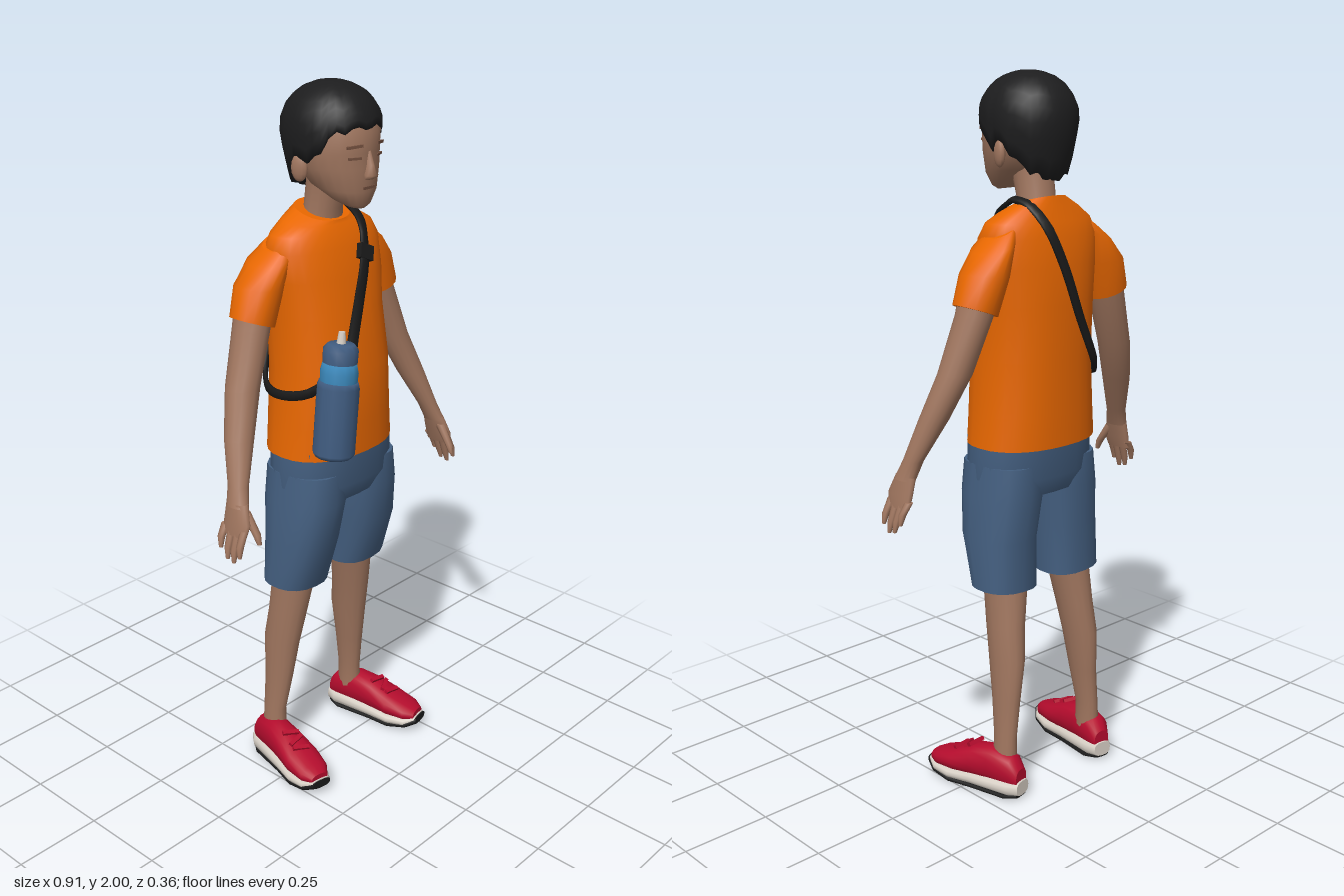
import * as THREE from 'three';

const mat = (name, color) => Object.assign(new THREE.MeshStandardMaterial({ color }), { name });
const M = {
  skin: mat('skin', 0xa0765f), hair: mat('black hair', 0x1d1d1e), shirt: mat('orange cloth', 0xee6a00),
  denim: mat('blue denim', 0x445f80), red: mat('red shoe', 0xb50c2d), white: mat('off white', 0xd6cec4),
  black: mat('black rubber', 0x1a1a1a), pouch: mat('pouch blue', 0x405c80), bottle: mat('bottle blue', 0x3a86b8),
  line: mat('face line', 0x73503f),
};

// Skin a list of point rings, with flat end caps
function skin(rings, capped = true) {
  const n = rings[0].length, pos = [], idx = [];
  const add = p => pos.push(p.x, p.y, p.z) / 3 - 1;
  rings.forEach(r => r.forEach(add));
  for (let i = 0; i < rings.length - 1; i++) for (let j = 0; j < n; j++) {
    const a = i * n + j, b = i * n + (j + 1) % n;
    idx.push(a, b, b + n, a, b + n, a + n);
  }
  if (capped) [rings[0], rings[rings.length - 1]].forEach((r, k) => {
    const c = new THREE.Vector3();
    r.forEach(p => c.addScaledVector(p, 1 / n));
    const ci = add(c), start = ci + 1;
    r.forEach(add);
    for (let j = 0; j < n; j++) {
      const a = start + j, b = start + (j + 1) % n;
      k ? idx.push(ci, a, b) : idx.push(ci, b, a);
    }
  });
  const g = new THREE.BufferGeometry();
  g.setAttribute('position', new THREE.Float32BufferAttribute(pos, 3));
  g.setIndex(idx);
  g.computeVertexNormals();
  return g;
}

// Superellipse coordinates
const oval = (n, power) => Array.from({ length: n }, (_, j) => {
  const t = j / n * Math.PI * 2, f = v => Math.sign(v) * Math.abs(v) ** (2 / power);
  return [f(Math.cos(t)), f(Math.sin(t))];
});

// Rows from bottom to top: x, y, z, half width, half depth, tilt in x, tilt in z
const loftY = (rows, s = 1, n = 16, power = 2) => skin(rows.map(([x, y, z, rx, rz, tx = 0, tz = 0]) =>
  oval(n, power).map(([c, d]) => new THREE.Vector3(x * s + d * rx, y + tx * s * d * rx + tz * c * rz, z + c * rz))));

// Rows from back to front: z, half width, bottom, top
const loftZ = (rows, power = 2.8) => skin(rows.map(([z, w, b, t]) =>
  oval(16, power).map(([c, d]) => new THREE.Vector3(c * w, (b + t) / 2 + d * (t - b) / 2, z))));

function mesh(parent, name, geo, material, p = [0, 0, 0], r = [0, 0, 0]) {
  const m = new THREE.Mesh(geo, material);
  m.name = name;
  m.position.set(...p);
  m.rotation.set(...r);
  parent.add(m);
  return m;
}
const group = (parent, name) => { const g = new THREE.Group(); g.name = name; parent.add(g); return g; };

// Hair shell whose lower edge follows the hairline
function hairGeometry() {
  const line = [[0, 1.9], [0.85, 1.885], [1.1, 1.84], [1.42, 1.8], [1.62, 1.83], [1.9, 1.79], [2.3, 1.745], [3.15, 1.72]];
  const edge = a => {
    const k = line.findIndex((p, i) => i && a <= p[0]);
    const [a0, y0] = line[k - 1], [a1, y1] = line[k];
    return y0 + (y1 - y0) * (a - a0) / (a1 - a0);
  };
  const n = 40, rings = [];
  for (let i = -1; i <= 9; i++) {
    rings.push(Array.from({ length: n }, (_, j) => {
      const t = j / n * Math.PI * 2, a = Math.min(t, Math.PI * 2 - t), v = Math.max(i, 0) / 9;
      const y = edge(a) + (j % 3 === 0 ? -0.007 : 0.004) * (1 - v) + (1.999 - edge(a)) * Math.sin(v * Math.PI / 2);
      let r = y > 1.87 ? Math.sqrt(Math.max(0.002, 1 - ((y - 1.87) / 0.13) ** 2.4)) : 1 - 0.25 * ((1.87 - y) / 0.15) ** 1.5;
      r *= i < 0 ? 0.75 : 1 + 0.012 * Math.sin(t * 7 + i * 1.7);
      return new THREE.Vector3(Math.sin(t) * 0.125 * r, y, -0.02 + Math.cos(t) * 0.14 * r);
    }));
  }
  return skin(rings);
}

// Flat strap along a curve, facing away from the body
function strapGeometry(points, width) {
  const curve = new THREE.CatmullRomCurve3(points.map(p => new THREE.Vector3(...p)));
  const rings = curve.getSpacedPoints(36).map((p, i) => {
    const t = curve.getTangentAt(i / 36);
    const out = new THREE.Vector3(p.x * 0.5, Math.max(0, p.y - 1.6) * 2, p.z + 0.045).normalize();
    const side = out.clone().cross(t).normalize();
    out.crossVectors(t, side);
    return oval(8, 3).map(([c, d]) => p.clone().addScaledVector(side, c * width).addScaledVector(out, d * 0.007));
  });
  return skin(rings);
}

function buildHead(root) {
  const head = group(root, 'head');
  mesh(head, 'neck', loftY([[0, 1.6, -0.06, 0.065, 0.06], [0, 1.67, -0.05, 0.052, 0.052], [0, 1.76, -0.03, 0.055, 0.06]]), M.skin);
  mesh(head, 'face', loftY([
    [0, 1.69, 0.056, 0.026, 0.034, 0, -0.15], [0, 1.705, 0.045, 0.052, 0.055, 0, -0.2], [0, 1.74, 0.02, 0.084, 0.091, 0, -0.1],
    [0, 1.79, 0, 0.104, 0.113], [0, 1.83, -0.005, 0.11, 0.117], [0, 1.88, -0.012, 0.112, 0.128],
    [0, 1.93, -0.02, 0.1, 0.115], [0, 1.97, -0.02, 0.06, 0.07]], 1, 24), M.skin);
  mesh(head, 'nose', loftY([[0, 1.764, 0.11, 0.016, 0.011], [0, 1.775, 0.115, 0.02, 0.02], [0, 1.8, 0.108, 0.012, 0.018], [0, 1.835, 0.104, 0.007, 0.01]], 1, 10), M.skin);
  mesh(head, 'mouth', new THREE.BoxGeometry(0.044, 0.007, 0.008), M.line, [0, 1.742, 0.108]);
  for (const s of [1, -1]) {
    mesh(head, 'ear', new THREE.SphereGeometry(1, 12, 8), M.skin, [s * 0.112, 1.79, -0.028], [0, s * -0.3, 0]).scale.set(0.013, 0.036, 0.024);
    mesh(head, 'eyelid', new THREE.BoxGeometry(0.036, 0.006, 0.008), M.line, [s * 0.045, 1.82, 0.101], [0, s * 0.4, 0]);
    mesh(head, 'eyebrow', new THREE.BoxGeometry(0.044, 0.007, 0.008), M.line, [s * 0.047, 1.85, 0.103], [0, s * 0.4, s * -0.08]);
  }
  mesh(head, 'hair', hairGeometry(), M.hair);
}

function buildArm(root, s) {
  const arm = group(root, s > 0 ? 'leftArm' : 'rightArm');
  mesh(arm, 'sleeve', loftY([
    [0.245, 1.4, -0.077, 0.057, 0.062, 0.36], [0.215, 1.49, -0.08, 0.062, 0.07, 0.1],
    [0.18, 1.56, -0.075, 0.052, 0.066, -0.3], [0.15, 1.6, -0.07, 0.04, 0.045, -0.5]], s), M.shirt);
  mesh(arm, 'forearm', loftY([
    [0.41, 0.96, 0.022, 0.022, 0.036], [0.392, 1.01, 0.008, 0.026, 0.03], [0.35, 1.12, -0.028, 0.04, 0.04],
    [0.302, 1.24, -0.06, 0.047, 0.046], [0.248, 1.39, -0.077, 0.05, 0.052], [0.23, 1.46, -0.08, 0.05, 0.055]], s), M.skin);
  mesh(arm, 'palm', loftY([
    [0.428, 0.885, 0.028, 0.013, 0.042], [0.42, 0.92, 0.03, 0.018, 0.046], [0.408, 0.97, 0.02, 0.021, 0.035]], s), M.skin);
  [[-0.01, 0.845], [0.015, 0.82], [0.038, 0.815], [0.06, 0.835]].forEach(([z, tip]) => mesh(arm, 'finger', loftY([
    [0.45, tip, z + 0.006, 0.005, 0.006], [0.444, tip + 0.03, z + 0.003, 0.01, 0.011], [0.425, 0.905, z, 0.011, 0.012]], s, 8), M.skin));
  mesh(arm, 'thumb', loftY([
    [0.404, 0.868, 0.094, 0.006, 0.007], [0.404, 0.895, 0.084, 0.011, 0.012], [0.407, 0.95, 0.045, 0.013, 0.017]], s, 8), M.skin);
}

function buildLeg(root, s) {
  const leg = group(root, s > 0 ? 'leftLeg' : 'rightLeg');
  mesh(leg, 'shortsLeg', loftY([
    [0.122, 0.605, -0.05, 0.09, 0.081, 0.05], [0.118, 0.75, -0.027, 0.093, 0.103],
    [0.105, 0.87, -0.024, 0.095, 0.118], [0.1, 0.96, -0.024, 0.09, 0.115]], s, 18, 2.4), M.denim);
  mesh(leg, 'shin', loftY([
    [0.168, 0.09, -0.1, 0.03, 0.04], [0.166, 0.17, -0.1, 0.027, 0.038], [0.155, 0.28, -0.092, 0.032, 0.048],
    [0.146, 0.4, -0.086, 0.042, 0.06], [0.136, 0.5, -0.07, 0.048, 0.062], [0.122, 0.62, -0.055, 0.06, 0.065]], s), M.skin);

  // Shoe, turned slightly outward
  const shoe = group(leg, 'shoe');
  shoe.position.set(s * 0.195, 0, -0.012);
  shoe.rotation.y = s * 0.19;
  mesh(shoe, 'upper', loftZ([
    [-0.155, 0.025, 0.03, 0.09], [-0.13, 0.038, 0.03, 0.125], [-0.06, 0.043, 0.03, 0.138], [0, 0.049, 0.03, 0.126],
    [0.06, 0.056, 0.03, 0.1], [0.12, 0.048, 0.03, 0.08], [0.15, 0.028, 0.035, 0.065]], 2.3), M.red);
  mesh(shoe, 'midsole', loftZ([
    [-0.16, 0.028, 0.012, 0.055], [-0.13, 0.044, 0.01, 0.058], [0, 0.051, 0.01, 0.05],
    [0.07, 0.059, 0.01, 0.045], [0.125, 0.05, 0.015, 0.045], [0.155, 0.03, 0.03, 0.05]]), M.white);
  mesh(shoe, 'outsole', loftZ([
    [-0.155, 0.025, 0.005, 0.02], [-0.12, 0.042, 0, 0.015], [0, 0.047, 0, 0.015],
    [0.07, 0.057, 0, 0.02], [0.13, 0.049, 0.01, 0.035], [0.16, 0.03, 0.025, 0.05]]), M.black);
  for (let i = 0; i < 3; i++)
    mesh(shoe, 'lace', new THREE.BoxGeometry(0.05, 0.01, 0.012), M.red, [0, 0.128 - i * 0.012, 0.005 + i * 0.026], [0.45, i % 2 ? 0.3 : -0.3, 0]);
}

function buildBottle(root) {
  const b = group(root, 'bottle');
  b.position.set(-0.147, 1.045, 0.12);
  b.rotation.z = -0.1;
  const lathe = pts => new THREE.LatheGeometry(pts.map(p => new THREE.Vector2(...p)), 12);
  mesh(b, 'pouch', lathe([[0, 0], [0.05, 0], [0.058, 0.012], [0.058, 0.195], [0.053, 0.21], [0, 0.21]]), M.pouch);
  mesh(b, 'bottleBody', lathe([[0.05, 0.2], [0.052, 0.235], [0.045, 0.265], [0, 0.267]]), M.bottle);
  mesh(b, 'bottleCap', lathe([[0.047, 0.26], [0.048, 0.295], [0.036, 0.31], [0, 0.312]]), M.pouch);
  mesh(b, 'spout', new THREE.CylinderGeometry(0.009, 0.013, 0.034, 10), M.white, [0, 0.325, 0]);
}

export function createModel() {
  const root = new THREE.Group();
  root.name = 'boy';
  buildHead(root);
  mesh(root, 'shirt', loftY([
    [0, 1.01, -0.03, 0.192, 0.14], [0, 1.1, -0.03, 0.184, 0.14], [0, 1.25, -0.03, 0.174, 0.14],
    [0, 1.4, -0.045, 0.174, 0.126], [0, 1.5, -0.05, 0.184, 0.116], [0, 1.575, -0.056, 0.19, 0.098],
    [0, 1.615, -0.058, 0.17, 0.083], [0, 1.643, -0.058, 0.125, 0.07, 0, -0.15], [0, 1.662, -0.055, 0.078, 0.064, 0, -0.3]], 1, 28, 2.3), M.shirt);
  mesh(root, 'shortsHip', loftY([
    [0, 0.87, -0.025, 0.175, 0.105], [0, 0.92, -0.024, 0.194, 0.125], [0, 1.03, -0.025, 0.186, 0.132]], 1, 24, 2.4), M.denim);
  for (const s of [1, -1]) { buildArm(root, s); buildLeg(root, s); }
  buildBottle(root);

  // Shoulder strap: chest side, then round the back to the bottle
  mesh(root, 'frontStrap', strapGeometry([
    [-0.085, 1.28, 0.125], [-0.06, 1.34, 0.11], [-0.01, 1.44, 0.088], [0.035, 1.54, 0.066], [0.068, 1.63, 0.022], [0.08, 1.672, -0.045]], 0.018), M.black);
  mesh(root, 'backStrap', strapGeometry([
    [0.08, 1.672, -0.045], [0.078, 1.662, -0.1], [0.06, 1.61, -0.15], [0.015, 1.5, -0.173], [-0.04, 1.36, -0.178], [-0.11, 1.23, -0.165],
    [-0.165, 1.19, -0.105], [-0.185, 1.19, -0.03], [-0.172, 1.21, 0.05], [-0.15, 1.24, 0.09]], 0.014), M.black);
  mesh(root, 'strapBuckle', new THREE.BoxGeometry(0.046, 0.04, 0.018), M.black, [0.042, 1.555, 0.062], [-0.35, 0, -0.45]);
  return root;
}
